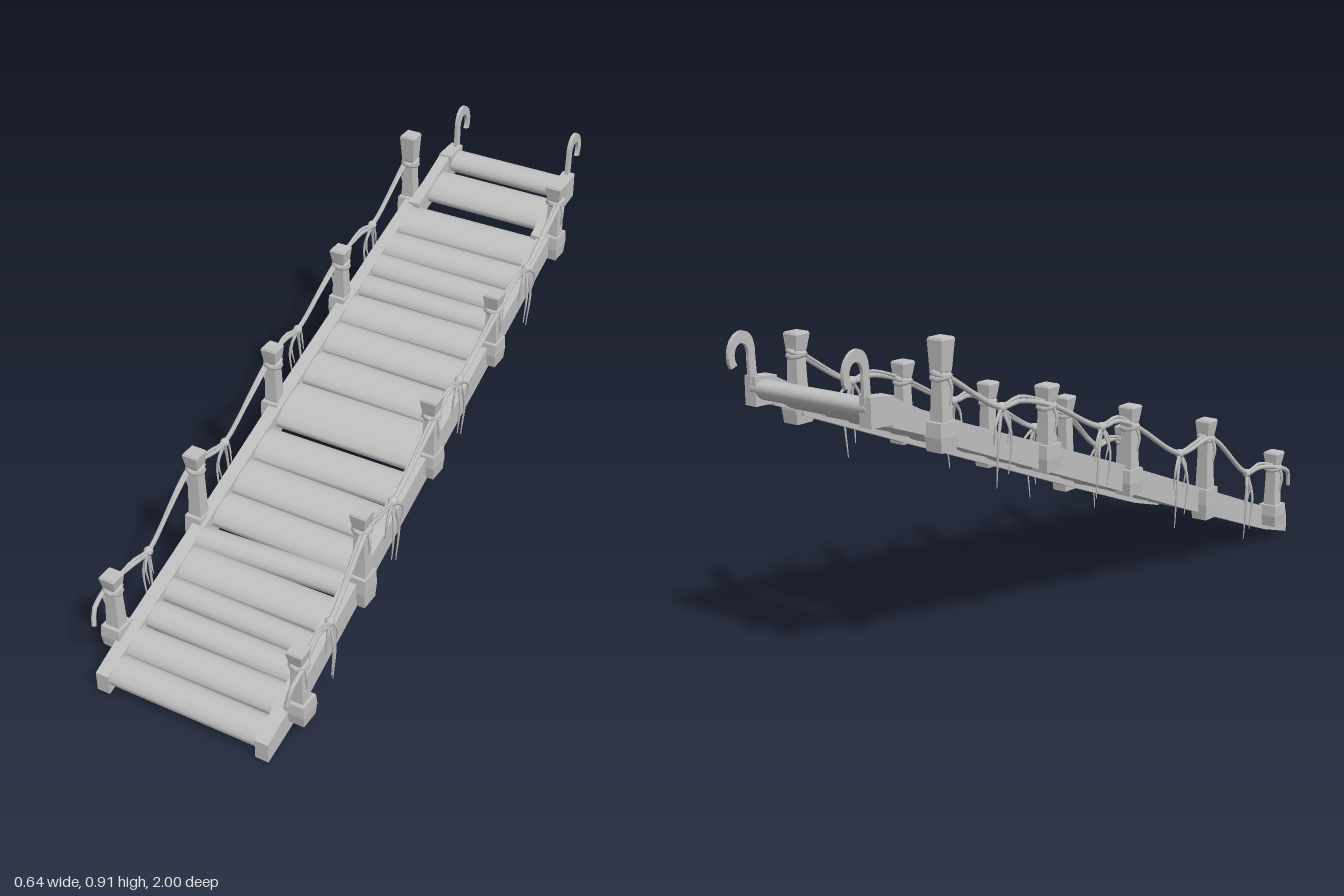
import * as THREE from 'three';

const wood = new THREE.MeshStandardMaterial({ color: 0xc0c0c0 });
wood.name = 'plain grey';
const V = (x, y, z) => new THREE.Vector3(x, y, z);

// Faceted solid through a row of four-cornered rings
function loft(rings) {
  const pos = [], index = [], n = rings.length;
  rings.flat().forEach(p => pos.push(p.x, p.y, p.z));
  for (let r = 0; r < n - 1; r++) for (let i = 0; i < 4; i++) {
    const j = (i + 1) % 4, a = r * 4, b = a + 4;
    index.push(a + i, b + i, a + j, a + j, b + i, b + j);
  }
  const e = (n - 1) * 4;
  index.push(0, 1, 2, 0, 2, 3, e, e + 2, e + 1, e, e + 3, e + 2);
  const g = new THREE.BufferGeometry();
  g.setAttribute('position', new THREE.Float32BufferAttribute(pos, 3));
  g.setIndex(index);
  const flat = g.toNonIndexed();
  flat.computeVertexNormals();
  return flat;
}

// Beam running from front to back; rows are [z, bottom, top, centre x, half width]
const beam = (rows, s) => loft(rows.map(([z, b, t, x, w]) =>
  [V(s * x - w, b, z), V(s * x + w, b, z), V(s * x + w, t, z), V(s * x - w, t, z)]));

// Upright; rows are [y, centre x, centre z, half width x, half width z]
const upright = rows => loft(rows.map(([y, x, z, w, d]) =>
  [V(x - w, y, z - d), V(x + w, y, z - d), V(x + w, y, z + d), V(x - w, y, z + d)]));

// Tube whose radius shrinks toward its end
function taperedTube(points, radius, tip, segments = 10, sides = 6) {
  const curve = new THREE.CatmullRomCurve3(points);
  const g = new THREE.TubeGeometry(curve, segments, radius, sides);
  const p = g.attributes.position, v = V(0, 0, 0);
  for (let i = 0; i < p.count; i++) {
    const u = Math.floor(i / (sides + 1)) / segments, c = curve.getPointAt(u);
    v.fromBufferAttribute(p, i).sub(c).multiplyScalar(1 + (tip - 1) * u).add(c);
    p.setXYZ(i, v.x, v.y, v.z);
  }
  return g;
}

// Posts: z, x, socket bottom, socket top, rope height, post top
const POSTS = [
  [0.87, 0.289, 0.06, 0.128, 0.25, 0.30],
  [0.5, 0.263, 0.165, 0.26, 0.415, 0.472],
  [0.1, 0.257, 0.33, 0.405, 0.53, 0.588],
  [-0.285, 0.253, 0.48, 0.555, 0.66, 0.715],
  [-0.705, 0.246, 0.62, 0.695, 0.81, 0.905],
];
// Rope sag points between posts: z, y, then tassel tip height
const SAGS = [[0.71, 0.262, 0.05], [0.345, 0.398, 0.175], [-0.05, 0.555, 0.355], [-0.485, 0.69, 0.48]];

const RAIL = [
  [1, 0.0, 0.06, 0.25, 0.02], [0.86, 0.04, 0.115, 0.25, 0.022],
  [0.5, 0.175, 0.255, 0.243, 0.02], [0.1, 0.33, 0.41, 0.238, 0.02],
  [-0.28, 0.475, 0.55, 0.233, 0.019], [-0.72, 0.645, 0.71, 0.228, 0.018],
];
const UPPER_RAIL = [
  [-0.66, 0.635, 0.695, 0.209, 0.018], [-0.75, 0.665, 0.728, 0.206, 0.017],
  [-0.85, 0.7, 0.778, 0.2, 0.017],
];

export function createModel() {
  const model = new THREE.Group();
  const add = (geometry, name, parent = model) => {
    const m = new THREE.Mesh(geometry, wood);
    m.name = name;
    parent.add(m);
    return m;
  };

  // Rounded deck boards, each an oval bar lying along the slope
  const deck = new THREE.Group();
  deck.name = 'deck';
  model.add(deck);
  const board = (z0, z1, y, half, i, yaw = 0) => {
    const g = new THREE.CylinderGeometry(1, 1, 2, 14);
    g.rotateZ(Math.PI / 2);
    g.scale(half, 0.027, (z0 - z1) / 2 * 1.09);
    g.rotateX(0.365 + 0.04 * Math.sin(i * 2.3));
    g.rotateY(yaw);
    g.translate(0, y, (z0 + z1) / 2);
    add(g, 'board', deck);
  };
  const edges = [0.995, 0.91, 0.82, 0.74, 0.67, 0.565, 0.495, 0.39, 0.275, 0.165,
    0.005, -0.11, -0.22, -0.325, -0.4, -0.48, -0.57, -0.68];
  for (let i = 0; i < edges.length - 1; i++) {
    const z0 = edges[i] - (i === 9 ? 0.012 : 0), z1 = edges[i + 1];
    const z = (z0 + z1) / 2;
    board(z0, z1, 0.032 + (1 - z) * 0.381, 0.237 - (1 - z) * 0.011, i, i === 5 ? 0.05 : 0.012 * Math.sin(i * 1.7));
  }
  board(-0.72, -0.832, 0.705, 0.2, 1);
  board(-0.848, -0.922, 0.748, 0.195, 2);

  // Flat curled hook outline, drawn with -z to the right
  const hook = new THREE.Shape();
  hook.moveTo(0.902, 0.77);
  hook.lineTo(0.907, 0.84);
  hook.bezierCurveTo(0.905, 0.885, 0.925, 0.908, 0.952, 0.906);
  hook.bezierCurveTo(0.99, 0.9, 1.008, 0.85, 0.988, 0.815);
  hook.lineTo(0.968, 0.822);
  hook.bezierCurveTo(0.985, 0.845, 0.972, 0.877, 0.952, 0.876);
  hook.bezierCurveTo(0.935, 0.874, 0.926, 0.855, 0.929, 0.83);
  hook.lineTo(0.926, 0.77);
  hook.closePath();

  for (const s of [1, -1]) {
    const side = new THREE.Group();
    side.name = s > 0 ? 'leftSide' : 'rightSide';
    model.add(side);

    add(beam(RAIL, s), 'rail', side);
    add(beam(UPPER_RAIL, s), 'upperRail', side);
    add(beam([[-0.845, 0.708, 0.78, 0.197, 0.021], [-0.922, 0.71, 0.787, 0.194, 0.019]], s), 'railEnd', side);

    const hg = new THREE.ExtrudeGeometry(hook, { depth: 0.01, bevelEnabled: false, curveSegments: 8 });
    hg.translate(0, 0, -0.005).rotateY(Math.PI / 2).translate(s * 0.192, 0, 0);
    add(hg, 'hook', side);

    // Posts in sockets, each wrapped by rope
    POSTS.forEach(([z, x0, b, t, ropeY, top0], i) => {
      const x = s * x0, top = i === 4 && s > 0 ? 0.862 : top0;
      const knot = i === 4 && s > 0 ? 0.805 : ropeY;
      const w = i ? 0.027 : 0.031;
      add(upright([[b, x, z, w * 0.9, 0.029], [(b + t) / 2, x, z, w, 0.034], [t, x, z, w * 0.95, 0.031]]), 'socket', side);
      add(upright([
        [t - 0.01, x, z, 0.021, 0.02], [(t + knot) / 2, x, z, 0.018, 0.018],
        [knot, x, z, 0.016, 0.017], [knot + 0.012, x, z, 0.019, 0.02],
        [top - 0.006, x, z + 0.002, 0.024, 0.025], [top, x, z + 0.002, 0.021, 0.022],
      ]), 'post', side);
      for (const k of [0, 1]) {
        const ring = new THREE.TorusGeometry(0.022, 0.008, 6, 10);
        ring.rotateX(Math.PI / 2 + (k ? 0.22 : -0.15)).rotateZ(k ? 0.15 : -0.1);
        ring.translate(x, knot - 0.004 + k * 0.006, z);
        add(ring, 'ropeWrap', side);
      }
      // Loose tail beside the knot
      add(taperedTube([V(x + s * 0.02, knot, z), V(x + s * 0.028, knot - 0.03, z + 0.008),
        V(x + s * 0.024, knot - 0.075, z + 0.004)], 0.006, 0.4, 6, 5), 'ropeTail', side);
    });

    // Two strands of handrail rope
    for (const k of [0, 1]) {
      const pts = k ? [] : [V(s * 0.3, 0.175, 0.95), V(s * 0.305, 0.222, 0.935)];
      POSTS.forEach(([z, x, , , y], i) => {
        pts.push(V(s * (x + (k ? 0.008 : 0.017)), y + k * 0.006, z));
        if (SAGS[i]) {
          const [sz, sy] = SAGS[i], xm = (x + POSTS[i + 1][1]) / 2;
          pts.push(V(s * (xm + 0.012), sy + 0.004 + k * 0.012, sz + 0.07));
          pts.push(V(s * (xm + 0.01), sy + k * 0.006, sz));
        }
      });
      add(new THREE.TubeGeometry(new THREE.CatmullRomCurve3(pts), 70, k ? 0.005 : 0.0075, 6), 'handRope', side);
    }

    // Hanging tassels at the low points of the rope
    SAGS.forEach(([z, y, tip], i) => {
      const x = s * ((POSTS[i][1] + POSTS[i + 1][1]) / 2 + 0.01);
      const knot = new THREE.SphereGeometry(0.014, 8, 6);
      knot.translate(x, y, z);
      add(knot, 'tasselKnot', side);
      const drop = y - tip, spread = i === 0 ? 0.5 : 1;
      [[-0.035, 1, 0], [0.03, 0.85, 0.008], [0.05, 0.5, -0.006], [-0.06, 0.45, 0.004]].forEach(([dz, f, dx]) => {
        add(taperedTube([V(x, y, z), V(x + s * (dx + 0.008), y - drop * f * 0.4, z + dz * 0.65 * spread),
          V(x + s * dx, y - drop * f, z + dz * 0.6 * spread)], 0.006, 0.25, 8, 5), 'tasselStrand', side);
      });
    });
  }
  return model;
}
